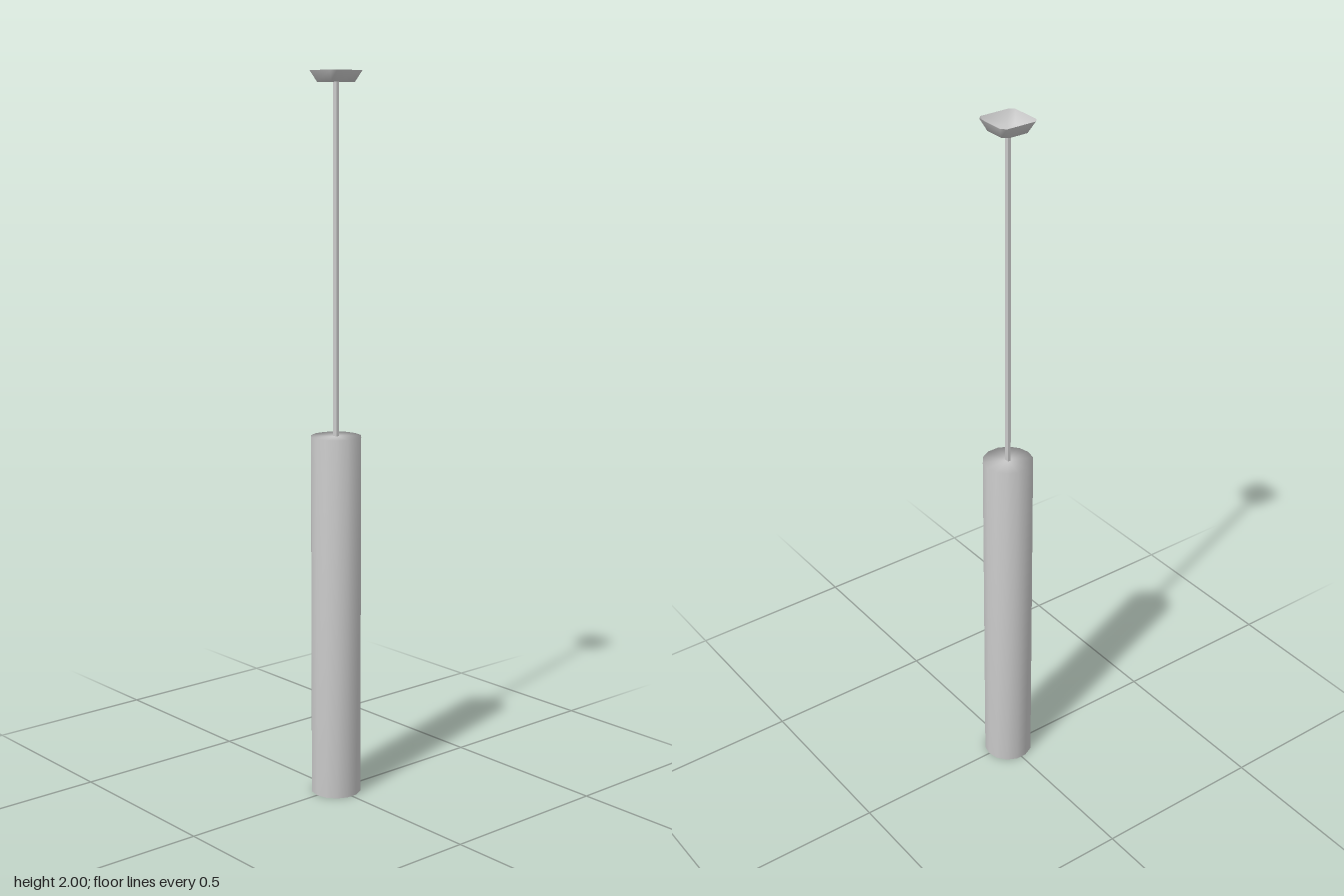
import * as THREE from 'three';
import { mergeVertices } from 'three/addons/utils/BufferGeometryUtils.js';

const grey = new THREE.MeshStandardMaterial({ color: 0xcccccc });
const greyThin = new THREE.MeshStandardMaterial({ color: 0xcccccc, side: THREE.DoubleSide });

function part(name, geometry, material = grey) {
  const mesh = new THREE.Mesh(geometry, material);
  mesh.name = name;
  return mesh;
}

// Weld all corners so the normals run smoothly over the rims
function weld(geometry) {
  geometry.deleteAttribute('normal');
  geometry.deleteAttribute('uv');
  const welded = mergeVertices(geometry);
  welded.computeVertexNormals();
  return welded;
}

// Square outline with cut corners, at height y
function chamferedSquare(half, cut, y) {
  const k = half - cut;
  return [[half, k], [k, half], [-k, half], [-half, k], [-half, -k], [-k, -half], [k, -half], [half, -k]]
    .map(([x, z]) => [x, y, z]);
}

// Open dish: a floor outline flaring up to a rim outline
function dish(floor, rim) {
  const n = floor.length;
  const points = [...floor, ...rim, [0, floor[0][1], 0]];
  const index = [];
  for (let i = 0; i < n; i++) {
    const j = (i + 1) % n;
    index.push(i, n + i, j, j, n + i, n + j); // sloping wall
    index.push(2 * n, i, j); // floor
  }
  const geometry = new THREE.BufferGeometry();
  geometry.setAttribute('position', new THREE.Float32BufferAttribute(points.flat(), 3));
  geometry.setIndex(index);
  geometry.computeVertexNormals();
  return geometry;
}

export function createModel() {
  const lamp = new THREE.Group();
  lamp.name = 'pendantLamp';

  // Long cylindrical shade, closed at both ends
  const shadeHeight = 1.022;
  const shade = new THREE.CylinderGeometry(0.07, 0.07, shadeHeight, 14);
  shade.rotateY(Math.PI / 2);
  shade.translate(0, shadeHeight / 2, 0);
  lamp.add(part('shade', weld(shade)));

  // Thin cord from shade to canopy
  const cordTop = 1.97;
  const cord = new THREE.BoxGeometry(0.009, cordTop - shadeHeight, 0.013);
  cord.translate(0, (cordTop + shadeHeight) / 2, 0);
  lamp.add(part('cord', cord));

  // Ceiling canopy, open at the top
  const canopy = dish(chamferedSquare(0.042, 0.014, cordTop), chamferedSquare(0.055, 0.012, 2));
  lamp.add(part('canopy', canopy, greyThin));

  return lamp;
}
